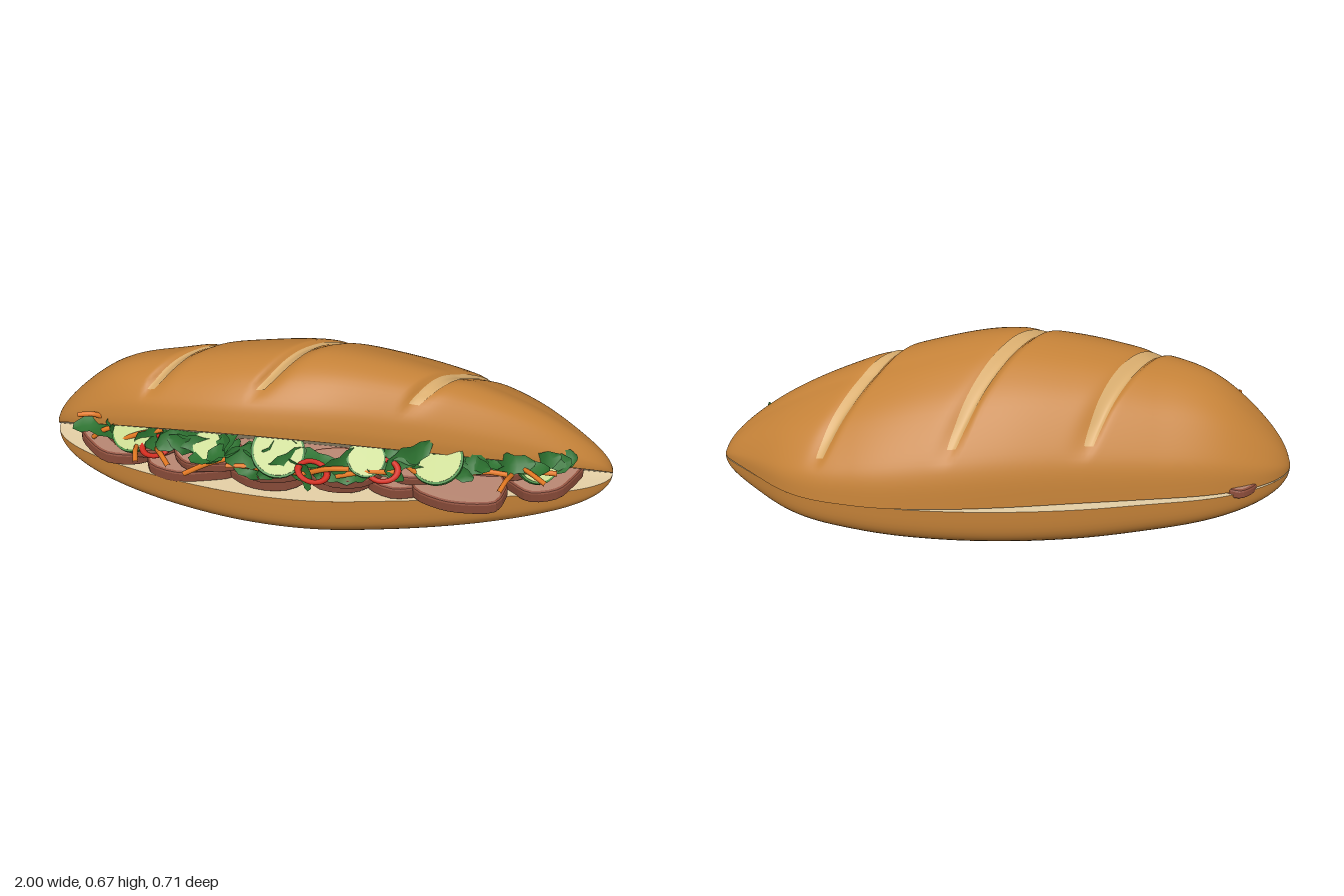
import * as THREE from 'three';

const mat = (name, color, extra = {}) => Object.assign(new THREE.MeshStandardMaterial({ color, ...extra }), { name });

// Seeded random numbers
let seed = 7;
const rnd = (a = 0, b = 1) => {
  seed = (seed * 16807) % 2147483647;
  return a + (b - a) * (seed / 2147483647);
};

// Grid surface from a rule f(u, v) -> [x, y, z]
function surface(f, nu, nv) {
  const g = new THREE.PlaneGeometry(1, 1, nu, nv);
  const { position: p, uv } = g.attributes;
  for (let i = 0; i < p.count; i++) p.setXYZ(i, ...f(uv.getX(i), uv.getY(i)));
  g.computeVertexNormals();
  return g;
}

const spline = pts => new THREE.SplineCurve(pts.map(p => new THREE.Vector2(...p)));

// Loaf outline along x: rounded ends times nine evenly spaced sizes
const HINGE = -0.02, SEAM = 0.214, FLOOR = 0.21, RISE = 0.012;
const round = (x, e) => Math.pow(Math.max(0, 1 - x * x), e);
function outline(sizes) {
  const curve = spline(sizes.map((s, i) => [i, s]));
  return x => round(x, 0.55) * curve.getPoint((x + 1) / 2).y;
}
const frontTop = outline([0.32, 0.316, 0.323, 0.328, 0.312, 0.274, 0.243, 0.232, 0.25]);
const frontLow = outline([0.32, 0.318, 0.322, 0.328, 0.32, 0.29, 0.265, 0.25, 0.26]);
const backTop = outline([0.34, 0.31, 0.285, 0.288, 0.313, 0.345, 0.376, 0.375, 0.22]);
const backLow = outline([0.34, 0.33, 0.312, 0.322, 0.334, 0.348, 0.362, 0.36, 0.22]);
const crown = outline([0.41, 0.475, 0.447, 0.447, 0.454, 0.432, 0.404, 0.372, 0.32]);
const along = u => -Math.cos(Math.PI * u);

// Unit cross-sections: top runs front lip to back, bottom runs back to front
const LIP = 0.5, OPENING = 0.745;
const topProfile = spline([[1, LIP], [0.985, 0.62], [0.9, 0.77], [0.68, 0.93], [0.38, 1], [0.06, 0.97],
  [-0.24, 0.875], [-0.54, 0.71], [-0.84, 0.43], [-0.96, 0.24], [-1, 0]]);
const lowProfile = spline([[-1, 0], [-0.985, 0.38], [-0.9, 0.62], [-0.69, 0.83], [-0.39, 0.95], [0, 1],
  [0.5, 0.94], [0.8, 0.79], [0.93, 0.62], [0.985, 0.42], [1, 0]]);
const rise = k => RISE * Math.max(0, -k);

// Diagonal score cuts, each following x + 0.68 z = constant
const CUTS = [-0.45, -0.03, 0.43], SLANT = 0.68;
const fade = t => Math.max(0, Math.min(1, (t - 0.2) / 0.1, (0.84 - t) / 0.1));

function topPoint(x, t, lift = 1) {
  const p = topProfile.getPoint(t);
  const zr = p.x * (p.x > 0 ? frontTop(x) : backTop(x));
  const s = x + SLANT * (HINGE + zr);
  let k = 1;
  for (const c of CUTS) {
    const d = s - c;
    k -= 0.05 * fade(t) * Math.exp(-((d / (d < 0 ? 0.016 : 0.045)) ** 2));
  }
  k *= lift;
  // the lip is drawn onto the flat plane of the opening
  const lip = Math.max(0, (p.x - 0.6) / 0.4) ** 2 * (OPENING * frontTop(x) - LIP * crown(x));
  return [x, SEAM + rise(p.x) + (p.y * crown(x) + lip) * k, HINGE + zr * k];
}

function scoreStrip(c) {
  return surface((u, v) => {
    const t = 0.25 + 0.54 * v;
    const d = -0.01 + (u * 0.058) * Math.pow(Math.sin(Math.PI * (0.06 + 0.88 * v)), 0.4);
    let x = c;
    for (let i = 0; i < 8; i++) x = c + d - SLANT * topPoint(x, t)[2];
    return topPoint(x, t, 1.01);
  }, 6, 50);
}

// Irregular slice of meat lying flat, faces and rim in separate groups
function meatSlice(rx, rz, thick) {
  const pts = [], n = 10, ph = rnd(0, 6);
  for (let i = 0; i < n; i++) {
    const a = i / n * Math.PI * 2, r = 1 + 0.09 * Math.sin(3 * a + ph) + rnd(-0.04, 0.04);
    pts.push(new THREE.Vector2(Math.cos(a) * rx * r, Math.sin(a) * rz * r));
  }
  const shape = new THREE.Shape(new THREE.SplineCurve([...pts, pts[0]]).getPoints(30).slice(0, -1));
  const g = new THREE.ExtrudeGeometry(shape, {
    depth: thick - 0.016, bevelEnabled: true, bevelThickness: 0.008, bevelSize: 0.01, bevelSegments: 2, bevelOffset: -0.01,
  });
  return g.translate(0, 0, -thick / 2 + 0.008).rotateX(-Math.PI / 2);
}

// Crinkled leaf with toothed edges
function leafGeometry(len, wid) {
  const ph = rnd(0, 6);
  return surface((u, v) => {
    const w = wid * Math.pow(Math.sin(Math.PI * (0.06 + 0.9 * u)), 0.6) * (Math.round(u * 6) % 2 ? 1.1 : 0.85);
    return [(u - 0.5) * len, (v - 0.5) * w,
      0.018 * Math.sin(u * 6 + ph) + 0.25 * wid * Math.abs(v - 0.5)];
  }, 6, 2);
}

export function createModel() {
  seed = 7;
  const root = new THREE.Group();
  root.name = 'filledBaguette';
  const double = { side: THREE.DoubleSide };
  const crust = mat('crust', 0xc58238, double);
  const score = mat('scoredCrust', 0xd9ad6e);
  const crumb = mat('crumb', 0xecd6ab, double);
  const meatEdge = mat('meatEdge', 0x8f4f3c);
  const meatFace = mat('meatFace', 0xb58470);
  const leaf = mat('leaf', 0x2c7230, double);
  const flesh = mat('cucumberFlesh', 0xc6d68c);
  const skin = mat('cucumberSkin', 0x3f8a3a);
  const carrot = mat('carrot', 0xe67a22);
  const chili = mat('chili', 0xd0281a);

  const add = (name, geo, m, pos = [0, 0, 0], rot = [0, 0, 0]) => {
    const mesh = new THREE.Mesh(geo, m);
    mesh.name = name;
    mesh.position.set(...pos);
    mesh.rotation.set(...rot);
    root.add(mesh);
    return mesh;
  };

  // Upper half: crust, opened crumb face and crumb along the hinge
  add('topCrust', surface((u, v) => topPoint(along(u), v), 220, 48), crust);
  add('topCrumbFront', surface((u, v) => {
    const f = v * frontTop(along(u));
    return [along(u), SEAM + OPENING * f, HINGE + f];
  }, 80, 4), crumb);
  add('topCrumbBack', surface((u, v) => {
    const x = along(u);
    return [x, SEAM + rise(v - 1), HINGE - (1 - v) * backTop(x)];
  }, 80, 2), crumb);
  CUTS.forEach(c => add('scoreCut', scoreStrip(c), score));

  // Lower half
  add('bottomCrust', surface((u, v) => {
    const x = along(u), p = lowProfile.getPoint(v);
    return [x, (FLOOR + rise(p.x)) * (1 - p.y * round(x, 0.5)), HINGE + p.x * (p.x > 0 ? frontLow(x) : backLow(x))];
  }, 100, 40), crust);
  add('bottomCrumb', surface((u, v) => {
    const x = along(u), k = 1 - 2 * v;
    return [x, FLOOR + rise(k), HINGE + k * (k > 0 ? frontLow(x) : backLow(x))];
  }, 80, 4), crumb);

  const edge = x => HINGE + frontLow(x);

  // Meat: front row [x, y, half length, overhang], then a row tucked behind
  const slices = [[-0.7, 0.265, 0.17, 0.015], [-0.44, 0.243, 0.17, 0.0], [-0.17, 0.25, 0.18, -0.03], [0.07, 0.268, 0.17, -0.03],
    [0.3, 0.25, 0.16, 0.0], [0.48, 0.255, 0.16, 0.1], [0.75, 0.245, 0.14, 0.04]];
  for (const [x, y, r, out] of slices) {
    const rz = Math.min(0.13, 0.4 * frontLow(x) + 0.035);
    add('meatSlice', meatSlice(r, rz, 0.05), [meatFace, meatEdge],
      [x, y, edge(x) + out - rz], [rnd(0.06, 0.18), rnd(-0.2, 0.2), rnd(-0.14, 0.1)]);
  }
  for (let i = 0; i < 6; i++) {
    const x = -0.62 + i * 0.24;
    add('upperMeatSlice', meatSlice(0.14, 0.08, 0.04), [meatFace, meatEdge],
      [x, 0.292, edge(x) - 0.09], [0.2, rnd(-0.2, 0.2), rnd(-0.12, 0.12)]);
  }
  add('rearMeatSlice', meatSlice(0.07, 0.07, 0.035), [meatFace, meatEdge], [-0.8, 0.224, -0.15], [0, 0.3, 0]);

  // Cucumber rounds leaning out of the opening
  for (const [x, y, r] of [[-0.64, 0.36, 0.08], [-0.36, 0.365, 0.06], [-0.12, 0.385, 0.09], [0.17, 0.37, 0.065],
    [0.4, 0.36, 0.09], [0.73, 0.325, 0.075]]) {
    const at = [x, y, edge(x) - 0.025], rot = [rnd(0.6, 0.9), 0, rnd(-0.35, 0.35)];
    add('cucumberRind', new THREE.CylinderGeometry(r, r, 0.016, 28), skin, at, rot);
    add('cucumberFlesh', new THREE.CylinderGeometry(r * 0.91, r * 0.91, 0.021, 28), flesh, at, rot);
  }

  // Herb leaves scattered along the opening
  for (let i = 0; i < 42; i++) {
    const x = -0.8 + 1.62 * (i + rnd(0, 0.8)) / 42;
    const high = 0.405 - 0.1 * x * x;
    add('herbLeaf', leafGeometry(rnd(0.12, 0.19), rnd(0.05, 0.085)), leaf,
      [x, rnd(0.315, high), edge(x) + rnd(-0.06, 0.005)], [rnd(-1.3, -0.1), rnd(-0.6, 0.6), rnd(-0.7, 0.7)]);
  }

  // Carrot shreds: some along the opening, some poking outward
  const shred = (x, y, z, dx, dy, dz) => add('carrotShred', new THREE.TubeGeometry(new THREE.CatmullRomCurve3([
    new THREE.Vector3(x - dx, y - dy, z - dz),
    new THREE.Vector3(x, y + 0.015, z + 0.008),
    new THREE.Vector3(x + dx, y + dy, z + dz)]), 10, 0.009, 6), carrot);
  for (let i = 0; i < 12; i++) {
    const x = -0.75 + i * 0.132;
    shred(x, rnd(0.3, 0.35), edge(x) + rnd(-0.02, 0.005), rnd(0.05, 0.1), rnd(-0.04, 0.04), rnd(-0.03, 0.02));
  }
  for (const [x, z, dx] of [[-0.61, 0.28, 0.015], [-0.52, 0.285, 0.04], [0.63, 0.26, -0.02], [0.7, 0.19, 0.06]])
    shred(x, 0.325, z, dx, 0.005, 0.06);
  shred(-0.79, 0.385, 0.17, -0.05, 0.012, 0.015);

  // Chili rings
  for (const [x, y] of [[-0.55, 0.34], [0.0, 0.335], [0.23, 0.34]])
    add('chiliRing', new THREE.TorusGeometry(0.038, 0.009, 8, 24), chili,
      [x, y, edge(x) + 0.005], [rnd(-1.1, -0.7), rnd(-0.3, 0.3), 0]).scale.set(1.3, 1, 1);

  return root;
}
